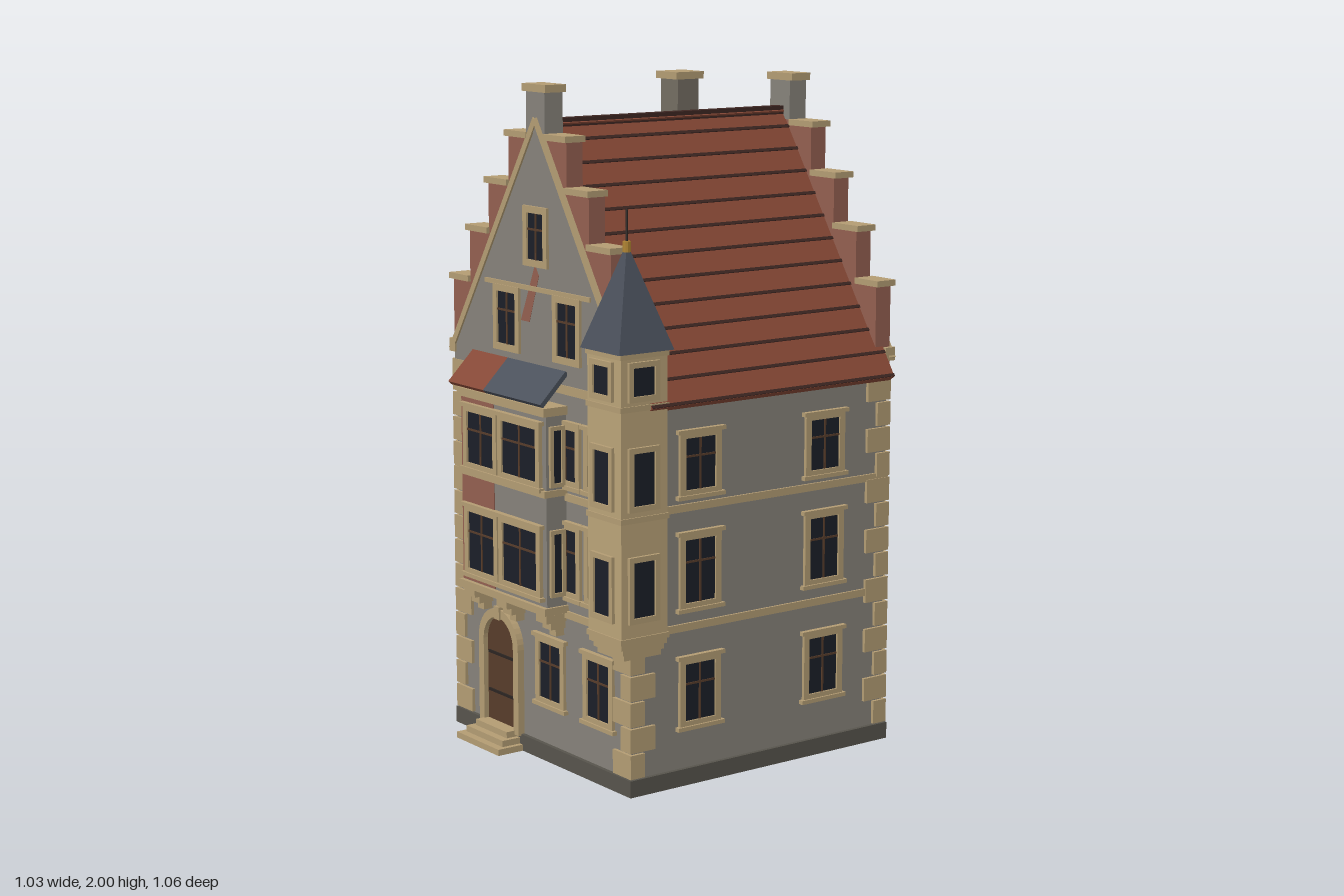
import * as THREE from 'three';

const mat = (color) => new THREE.MeshStandardMaterial({ color, flatShading: true });
const M = {
  wall: mat(0x86827a), trim: mat(0xb39c73), turret: mat(0xbaa378), plinth: mat(0x57544c),
  brick: mat(0x935f50), tile: mat(0x854735), tileDark: mat(0x3d2622), slate: mat(0x4a505b),
  glass: mat(0x1b1f28), wood: mat(0x573c2a), iron: mat(0x2b2522), gold: mat(0xb08432), chimney: mat(0x736d62),
};

export function createModel() {
  const root = new THREE.Group();
  root.name = 'steppedGableHouse';
  const W = 0.45, ZF = 0.43, ZB = -0.51, ZC = -0.04;

  const add = (parent, name, geo, m, x = 0, y = 0, z = 0) => {
    const mesh = new THREE.Mesh(geo, M[m]);
    mesh.name = name;
    mesh.position.set(x, y, z);
    parent.add(mesh);
    return mesh;
  };
  const box = (parent, name, m, w, h, d, x, y, z) => add(parent, name, new THREE.BoxGeometry(w, h, d), m, x, y, z);
  // box given by its limits
  const span = (parent, name, m, x0, x1, y0, y1, z0, z1) =>
    box(parent, name, m, x1 - x0, y1 - y0, z1 - z0, (x0 + x1) / 2, (y0 + y1) / 2, (z0 + z1) / 2);
  const poly = (pts) => new THREE.Shape(pts.map(([x, y]) => new THREE.Vector2(x, y)));
  const extrude = (shape, depth) => new THREE.ExtrudeGeometry(shape, { depth, bevelEnabled: false, curveSegments: 10 });
  const group = (parent, name, x = 0, y = 0, z = 0, ry = 0) => {
    const g = new THREE.Group();
    g.name = name;
    g.position.set(x, y, z);
    g.rotation.y = ry;
    parent.add(g);
    return g;
  };

  // Window facing local +z: glass from y0 to y1, frame, glazing bars, optional sill and lintel
  const makeWindow = (parent, x, y0, y1, z, ry, w, { f = 0.02, ledge = true, bars = true } = {}) => {
    const g = group(parent, 'window', x, (y0 + y1) / 2, z, ry), h = y1 - y0;
    box(g, 'glass', 'glass', w, h, 0.008, 0, 0, 0);
    for (const s of [-1, 1]) {
      box(g, 'frameSide', 'trim', f, h + 2 * f, 0.02, s * (w + f) / 2, 0, 0);
      box(g, 'frameEnd', 'trim', w, f, 0.02, 0, s * (h + f) / 2, 0);
      if (ledge) box(g, s < 0 ? 'sill' : 'lintel', 'trim', w + 2 * f + 0.02, 0.012, 0.032, 0, s * (h / 2 + f), 0);
    }
    if (bars) {
      box(g, 'mullion', 'wood', 0.006, h, 0.014, 0, 0, 0);
      box(g, 'transom', 'wood', w, 0.006, 0.014, 0, h * 0.15, 0);
    }
  };

  // Main body, plinth and string courses
  span(root, 'walls', 'wall', -W, W, 0.03, 1.14, ZB, ZF);
  span(root, 'plinth', 'plinth', -0.462, 0.462, 0, 0.05, -0.522, 0.442);
  for (const [y, h, p] of [[0.47, 0.022, 0.007], [0.82, 0.022, 0.007], [1.135, 0.026, 0.01]])
    box(root, 'stringCourse', 'trim', 0.9 + 2 * p, h, 0.94 + 2 * p, 0, y, ZC);

  // Corner quoins, long and short in turn
  const qh = 1.075 / 14;
  for (const sx of [-1, 1]) for (const sz of [-1, 1]) for (let i = 0; i < 14; i++) {
    const w = i % 2 ? 0.05 : 0.088, d = i % 2 ? 0.088 : 0.05;
    box(root, 'quoin', 'trim', w, qh - 0.006, d,
      sx * (0.46 - w / 2), 0.05 + (i + 0.5) * qh, ZC + sz * (0.48 - d / 2));
  }

  // Wall windows on each floor
  const floors = [[0.19, 0.36], [0.54, 0.725], [0.87, 1.02]];
  floors.forEach(([y0, y1], i) => {
    for (const z of [0.19, -0.27]) for (const s of [-1, 1])
      makeWindow(root, s * W, y0, y1, z, s * Math.PI / 2, 0.108);
    for (const x of i ? [-0.3, 0.135, 0.305] : [0.05, 0.295]) makeWindow(root, x, y0, y1, ZF, 0, 0.108);
    for (const x of i ? [-0.235, 0.24] : [0.24]) makeWindow(root, x, y0, y1, ZB, Math.PI, 0.108);
  });

  // Stepped gables, front and back
  const steps = [[0.455, 1.395], [0.362, 1.55], [0.257, 1.7], [0.148, 1.845], [0.045, 1.98]];
  const makeGable = (z, ry) => {
    const g = group(root, 'gable', 0, 0, z, ry); // local z = 0 is the wall face
    const half = [];
    steps.forEach(([x, y], i) => half.push([x, i ? steps[i - 1][1] : 1.14], [x, y]));
    const outline = [...half, ...half.slice().reverse().map(([x, y]) => [-x, y])];
    add(g, 'steppedWall', extrude(poly(outline), 0.056), 'brick', 0, 0, -0.055);
    add(g, 'gableFace', extrude(poly([[-0.45, 1.14], [0.45, 1.14], [0.45, 1.2], [0, 1.89], [-0.45, 1.2]]), 0.01), 'wall', 0, 0, -0.006);
    span(g, 'pinnacle', 'wall', -0.047, 0.047, 1.86, 1.985, -0.057, 0.006);
    span(g, 'pinnacleCap', 'trim', -0.06, 0.06, 1.978, 2, -0.06, 0.012);
    steps.slice(0, 4).forEach(([x, y], i) => {
      for (const s of [-1, 1]) {
        const x1 = x + 0.01, x0 = steps[i + 1][0] - 0.002;
        box(g, 'stepCap', 'trim', x1 - x0, 0.018, 0.07, s * (x0 + x1) / 2, y + 0.007, -0.0235);
      }
    });
    // Sloping moulding
    const dx = 0.465, dy = 0.725;
    for (const s of [-1, 1]) {
      const rake = box(g, 'rakingMoulding', 'trim', Math.hypot(dx, dy), 0.02, 0.024, s * dx / 2, 1.175 + dy / 2, -0.002);
      rake.rotation.z = -s * Math.atan2(dy, dx);
      box(g, 'kneeler', 'trim', 0.03, 0.04, 0.036, s * 0.455, 1.19, -0.008);
    }
    box(g, 'gableBand', 'trim', 0.54, 0.014, 0.02, 0, 1.41, 0);
    for (const s of [-1, 1]) makeWindow(g, s * 0.155, 1.23, 1.385, 0.003, 0, 0.096, { ledge: false });
    makeWindow(g, 0, 1.495, 1.63, 0.003, 0, 0.082, { ledge: false });
    return g;
  };
  const frontGable = makeGable(0.433, 0);
  makeGable(-0.516, Math.PI);
  add(frontGable, 'exposedBrick', extrude(poly([[-0.085, 1.31], [-0.04, 1.31], [0.01, 1.45], [-0.01, 1.48]]), 0.002), 'brick', 0, 0, 0.003);

  // Tiled roof: a slab for each slope with dark course lines
  const run = 0.51, rise = 0.77, len = Math.hypot(run, rise), rows = 12;
  for (const s of [-1, 1]) {
    const slope = group(root, 'roofSlope', s * run / 2, 1.13 + rise / 2, -0.045);
    slope.rotation.z = -s * Math.atan2(rise, run);
    box(slope, 'tiles', 'tile', len, 0.025, 0.89, 0, -0.0125, 0);
    for (let i = 0; i < rows; i++)
      box(slope, 'tileCourse', 'tileDark', 0.009, 0.01, 0.888, s * (len * (i + 1) / rows - len / 2 - 0.005), -0.001, 0);
  }
  box(root, 'ridge', 'tileDark', 0.035, 0.025, 0.86, 0, 1.888, -0.045);

  // Chimney
  span(root, 'chimney', 'chimney', -0.285, -0.2, 1.4, 1.985, -0.3, -0.22);
  span(root, 'chimneyCap', 'trim', -0.295, -0.19, 1.978, 2, -0.312, -0.208);

  // Two-storey bay
  const bay = group(root, 'bay');
  span(bay, 'bayWalls', 'wall', -0.312, 0.132, 0.49, 1.085, 0.42, 0.5);
  span(bay, 'bayBrickPanel', 'brick', -0.313, -0.14, 0.5, 1.06, 0.49, 0.503);
  for (const [y, h, p] of [[0.487, 0.022, 0.008], [0.835, 0.02, 0.006], [1.075, 0.025, 0.008]])
    span(bay, 'bayCornice', 'trim', -0.312 - p, 0.132 + p, y - h / 2, y + h / 2, 0.42, 0.505 + p);
  for (const [y0, y1] of [[0.54, 0.715], [0.865, 1.02]]) {
    makeWindow(bay, -0.203, y0, y1, 0.502, 0, 0.14);
    makeWindow(bay, 0.003, y0, y1, 0.502, 0, 0.178);
    for (const [x, s] of [[-0.312, -1], [0.132, 1]])
      makeWindow(bay, x, y0, y1, 0.465, s * Math.PI / 2, 0.028, { f: 0.012, ledge: false, bars: false });
  }
  for (const x of [-0.285, -0.11, 0.1]) [0.46, 0.438, 0.415].forEach((y, i) =>
    box(bay, 'bayCorbel', 'trim', 0.056 - i * 0.012, 0.024, 0.07 - i * 0.02, x, y, 0.43 + (0.07 - i * 0.02) / 2));
  for (const [m, x0, x1] of [['tile', -0.34, -0.15], ['slate', -0.15, 0.15]])
    box(bay, 'bayRoof', m, x1 - x0, 0.014, 0.125, (x0 + x1) / 2, 1.142, 0.482).rotation.x = Math.PI / 4;

  // Corner turret on stepped corbels, with pyramid roof and finial
  const turret = group(root, 'cornerTurret', 0.42, 0, 0.42);
  span(turret, 'turretWalls', 'turret', -0.08, 0.08, 0.47, 1.29, -0.08, 0.08);
  [0.078, 0.063, 0.05].forEach((e, i) =>
    span(turret, 'turretCorbel', 'trim', -0.08, e, 0.45 - i * 0.02, 0.475 - i * 0.02, -0.08, e));
  for (const y of [0.475, 0.82, 1.135, 1.283]) box(turret, 'turretBand', 'trim', 0.168, 0.016, 0.168, 0, y, 0);
  for (const [y0, y1] of [[0.54, 0.7], [0.86, 1.01], [1.17, 1.25]]) {
    const opts = { f: 0.016, ledge: false, bars: false };
    makeWindow(turret, -0.005, y0, y1, 0.08, 0, 0.074, opts);
    makeWindow(turret, 0.08, y0, y1, 0.005, Math.PI / 2, 0.074, opts);
  }
  add(turret, 'turretRoof', new THREE.ConeGeometry(0.094 * Math.SQRT2, 0.295, 4, 1).rotateY(Math.PI / 4), 'slate', -0.004, 1.4375, -0.002);
  add(turret, 'finialBase', new THREE.CylinderGeometry(0.012, 0.012, 0.03, 10), 'gold', -0.004, 1.575, -0.002);
  add(turret, 'finialRod', new THREE.CylinderGeometry(0.003, 0.004, 0.1, 6), 'iron', -0.004, 1.63, -0.002);

  // Arched front door with surround and steps
  const door = group(root, 'frontDoor', -0.205, 0, ZF);
  const arch = (r, y0, Shape) => {
    const p = new Shape();
    p.moveTo(-r, y0);
    p.lineTo(r, y0);
    p.lineTo(r, 0.31);
    p.absarc(0, 0.31, r, 0, Math.PI, false);
    p.closePath();
    return p;
  };
  const surround = arch(0.107, 0.045, THREE.Shape);
  surround.holes.push(arch(0.08, 0.05, THREE.Path));
  add(door, 'doorSurround', extrude(surround, 0.022), 'trim');
  add(door, 'doorLeaf', extrude(arch(0.081, 0.046, THREE.Shape), 0.006), 'wood');
  for (const y of [0.15, 0.27]) box(door, 'doorStrap', 'iron', 0.14, 0.008, 0.006, 0, y, 0.008);
  box(door, 'keystone', 'trim', 0.028, 0.04, 0.035, 0, 0.405, 0.01);
  [[0.115, 0.1], [0.1, 0.075], [0.085, 0.05]].forEach(([w, d], i) =>
    span(door, 'doorStep', 'trim', -w, w, i * 0.019, (i + 1) * 0.019, 0, d));

  // Plain back door
  const back = group(root, 'backDoor', -0.2, 0, ZB, Math.PI);
  span(back, 'backDoorLeaf', 'wood', -0.06, 0.06, 0.03, 0.31, 0, 0.012);
  for (const y of [0.12, 0.24]) box(back, 'backDoorStrap', 'iron', 0.1, 0.008, 0.006, 0, y, 0.012);
  for (const s of [-1, 1]) box(back, 'backDoorJamb', 'trim', 0.012, 0.28, 0.026, s * 0.066, 0.17, 0);
  box(back, 'backDoorLintel', 'trim', 0.17, 0.028, 0.03, 0, 0.322, 0);
  box(back, 'backDoorHandle', 'gold', 0.01, 0.01, 0.012, 0.045, 0.17, 0.016);

  return root;
}
